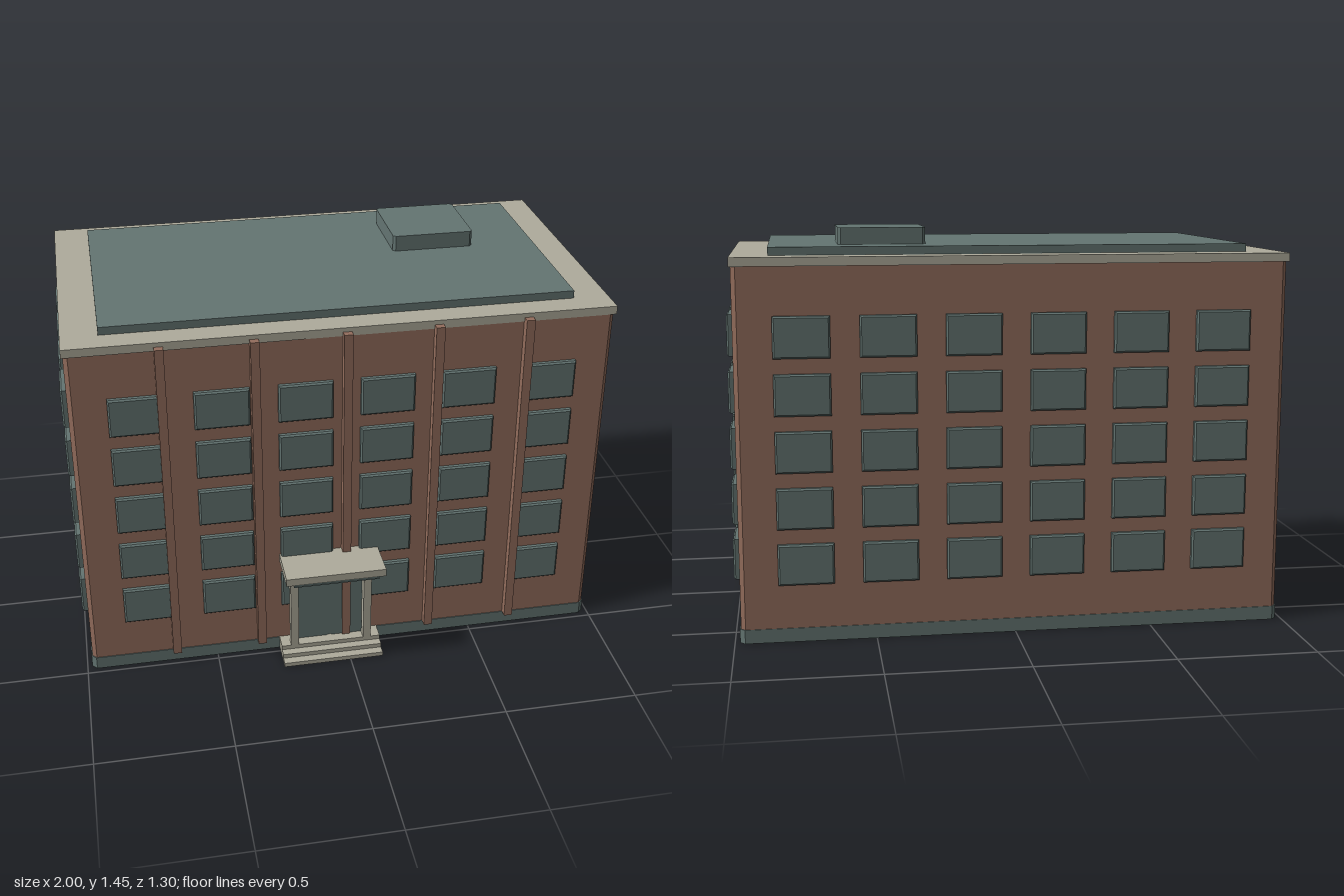
import * as THREE from 'three';

const material = (name, color) => {
  const m = new THREE.MeshStandardMaterial({ color });
  m.name = name;
  return m;
};

export function createModel() {
  const brick = material('brick', 0x946e5d);
  const slate = material('slate', 0x647572);
  const stone = material('stone', 0xafac9c);
  const model = new THREE.Group();

  const add = (name, geometry, mat, parent = model) => {
    const mesh = new THREE.Mesh(geometry, mat);
    mesh.name = name;
    parent.add(mesh);
    return mesh;
  };

  // Plain block given by its limits
  const block = (name, mat, [x0, x1], [y0, y1], [z0, z1], parent) => {
    const mesh = add(name, new THREE.BoxGeometry(x1 - x0, y1 - y0, z1 - z0), mat, parent);
    mesh.position.set((x0 + x1) / 2, (y0 + y1) / 2, (z0 + z1) / 2);
    return mesh;
  };

  // Block whose four upright edges are chamfered
  const chamferedBlock = (name, mat, [x0, x1], [y0, y1], [z0, z1], c) => {
    const a = (x1 - x0) / 2, b = (z1 - z0) / 2;
    const outline = new THREE.Shape([
      [a, -b + c], [a, b - c], [a - c, b], [-a + c, b],
      [-a, b - c], [-a, -b + c], [-a + c, -b], [a - c, -b],
    ].map(([x, y]) => new THREE.Vector2(x, y)));
    const geo = new THREE.ExtrudeGeometry(outline, { depth: y1 - y0, bevelEnabled: false });
    geo.rotateX(-Math.PI / 2);
    const mesh = add(name, geo, mat);
    mesh.position.set((x0 + x1) / 2, y0, (z0 + z1) / 2);
    return mesh;
  };

  // Main volume
  const midZ = -0.078;
  chamferedBlock('plinth', slate, [-0.982, 0.982], [0, 0.05], [-0.633, 0.477], 0.018);
  chamferedBlock('walls', brick, [-0.978, 0.978], [0.05, 1.327], [-0.63, 0.474], 0.016);
  block('cornice', stone, [-0.984, 0.984], [1.325, 1.356], [-0.636, 0.478]);
  block('roofDeck', slate, [-0.853, 0.853], [1.35, 1.385], [-0.54, 0.382]);
  chamferedBlock('roofHousing', slate, [0.295, 0.607], [1.38, 1.445], [-0.413, -0.102], 0.01);

  // Front pilasters
  for (let i = -2; i <= 2; i++) {
    const x = i * 0.328;
    block('pilaster', brick, [x - 0.016, x + 0.016], [0.05, 1.34], [0.46, 0.505]);
  }

  // Raised window panel with bevelled rim, facing +z with its face at z = 0
  const windowGeometry = (w, h) => {
    const b = 0.006, a = w / 2 - b, k = h / 2 - b;
    const shape = new THREE.Shape([[-a, -k], [a, -k], [a, k], [-a, k]]
      .map(([x, y]) => new THREE.Vector2(x, y)));
    const geo = new THREE.ExtrudeGeometry(shape, {
      depth: 0.024, bevelEnabled: true, bevelThickness: b, bevelSize: b, bevelSegments: 1,
    });
    return geo.translate(0, 0, -0.024 - b);
  };
  const wide = windowGeometry(0.197, 0.146);
  const narrow = windowGeometry(0.17, 0.146);

  const windowRows = (name, geo, columns, place) => {
    const group = new THREE.Group();
    group.name = name;
    model.add(group);
    for (let row = 0; row < 5; row++) {
      for (let i = 0; i < columns; i++) {
        place(add('window', geo, slate, group), i - (columns - 1) / 2, 0.283 + row * 0.2);
      }
    }
  };
  windowRows('frontWindows', wide, 6, (m, i, y) => m.position.set(i * 0.298, y, 0.493));
  windowRows('backWindows', wide, 6, (m, i, y) => {
    m.position.set(i * 0.298, y, -0.649);
    m.rotation.y = Math.PI;
  });
  for (const side of [1, -1]) {
    windowRows(side > 0 ? 'leftWindows' : 'rightWindows', narrow, 4, (m, i, y) => {
      m.position.set(side, y, midZ + i * 0.2527);
      m.rotation.y = side * Math.PI / 2;
    });
  }

  // Entrance: steps, posts, glazed doors and canopy
  const entrance = new THREE.Group();
  entrance.name = 'entrance';
  model.add(entrance);
  const cx = -0.066;
  [0.6, 0.568, 0.537].forEach((front, i) => {
    block('step', stone, [cx - 0.192, cx + 0.192], [i * 0.017, (i + 1) * 0.017], [0.46, front], entrance);
  });
  for (const s of [-1, 1]) {
    const px = cx + s * 0.141, dx = cx + s * 0.067;
    block('post', stone, [px - 0.015, px + 0.015], [0.05, 0.405], [0.505, 0.54], entrance);
    block('door', slate, [dx - 0.06, dx + 0.06], [0.05, 0.405], [0.46, 0.498], entrance);
  }
  block('doorBacking', slate, [cx - 0.141, cx + 0.141], [0.05, 0.405], [0.46, 0.494], entrance);
  block('canopy', stone, [cx - 0.187, cx + 0.187], [0.407, 0.437], [0.46, 0.643], entrance);
  block('canopySoffit', slate, [cx - 0.16, cx + 0.16], [0.402, 0.408], [0.46, 0.649], entrance);

  return model;
}
